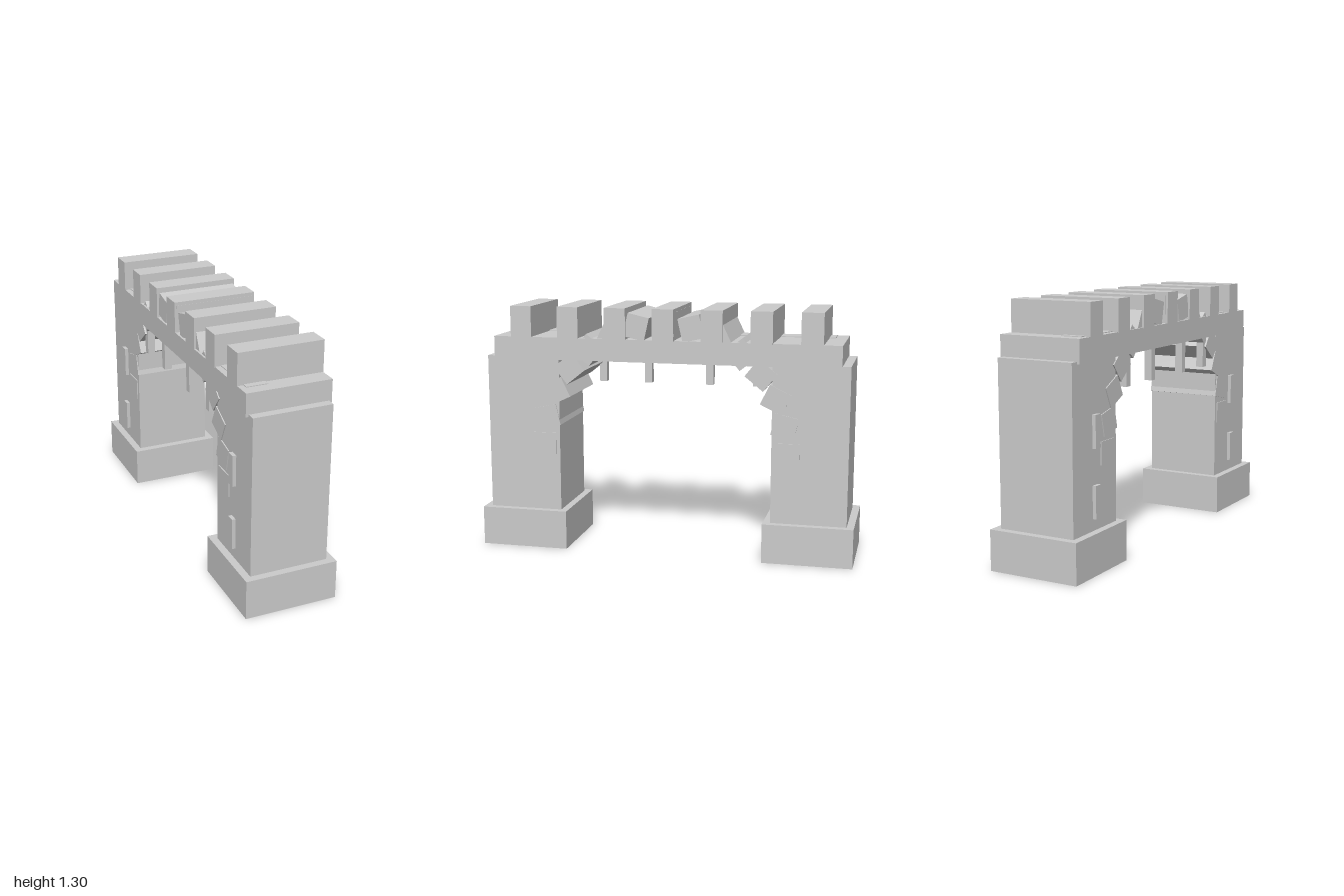
import * as THREE from 'three';

const material = new THREE.MeshStandardMaterial({ color: 0xcccccc, flatShading: true });

export function createModel() {
  const model = new THREE.Group();

  // Box given by its size and centre, optionally turned about the x axis
  function block(name, [w, h, d], [x, y, z], turn = 0) {
    const mesh = new THREE.Mesh(new THREE.BoxGeometry(w, h, d), material);
    mesh.name = name;
    mesh.position.set(x, y, z);
    mesh.rotation.x = turn;
    model.add(mesh);
  }

  // Two piers on plinths, each with narrow window slits on one side
  for (const side of [1, -1]) {
    const z = side * 0.764;
    block('plinth', [0.486, 0.207, 0.47], [0, 0.1035, z], 0);
    block('pier', [0.41, 0.835, 0.394], [0, 0.6175, z]);
    for (const y of [0.348, 0.69]) {
      block('windowSlit', [0.04, 0.163, 0.045], [-0.204, y, z]);
    }
  }

  // Ring of tilted arch stones
  const stones = 15, radius = 0.65;
  for (let i = 0; i < stones; i++) {
    const t = (i / (stones - 1)) * Math.PI;
    block('archStone', [0.42, 0.115, 0.123],
      [0, 0.572 + radius * Math.sin(t), radius * Math.cos(t)], t);
  }

  // Deck across the piers with a thin strip along its top
  block('deck', [0.44, 0.117, 1.834], [0, 1.0825, 0]);
  block('deckStrip', [0.11, 0.02, 1.71], [-0.135, 1.135, 0]);

  // Battlements
  for (let i = -3; i <= 3; i++) {
    block('merlon', [0.443, 0.165, 0.113], [0, 1.2195, i * 0.2555]);
  }

  // Short posts hanging below the deck
  for (const z of [-0.43, -0.172, 0.172, 0.43]) {
    block('hangingPost', [0.04, 0.18, 0.04], [-0.18, 0.948, z]);
  }

  return model;
}
